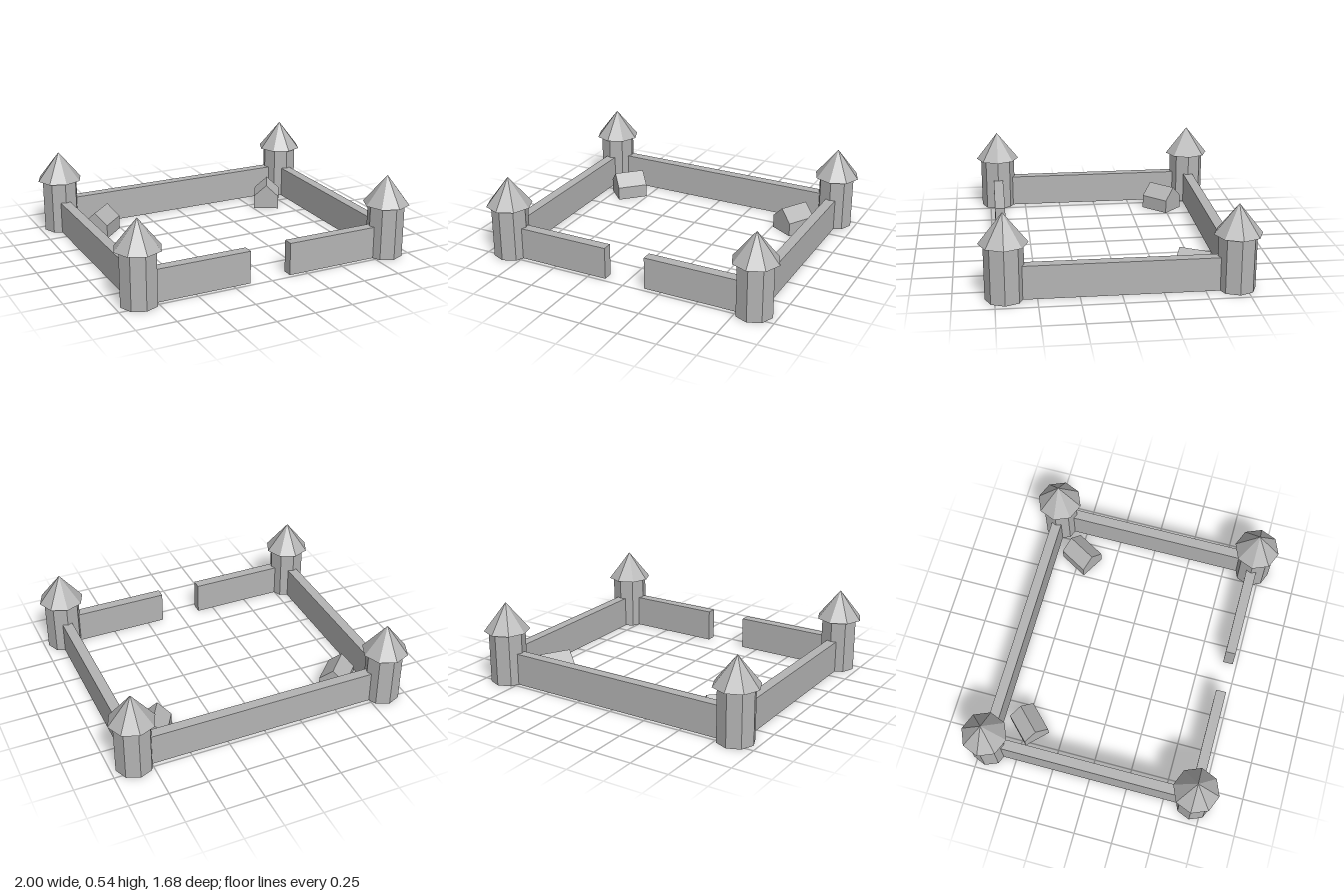
import * as THREE from 'three';

const TOWER_X = 0.852, TOWER_Z = 0.691;
const WALL_H = 0.21, WALL_T = 0.066, GATE = 0.137;

export function createModel() {
  const model = new THREE.Group();
  model.name = 'walledCourtyard';
  const stone = new THREE.MeshStandardMaterial({ color: 0xb4b4b4, flatShading: true });
  stone.name = 'greyStone';

  const add = (parent, name, geometry, x, y, z) => {
    const mesh = new THREE.Mesh(geometry, stone);
    mesh.name = name;
    mesh.position.set(x, y, z);
    parent.add(mesh);
    return mesh;
  };

  // Corner towers: octagonal shaft with a wider pointed roof
  const shaft = new THREE.CylinderGeometry(0.118, 0.118, 0.35, 8);
  const roof = new THREE.ConeGeometry(0.148, 0.187, 8);
  for (const sz of [1, -1]) {
    for (const sx of [1, -1]) {
      const tower = new THREE.Group();
      tower.name = (sz > 0 ? 'front' : 'back') + (sx > 0 ? 'Left' : 'Right') + 'Tower';
      tower.position.set(sx * TOWER_X, 0, sz * TOWER_Z);
      add(tower, 'towerShaft', shaft, 0, 0.175, 0);
      add(tower, 'towerRoof', roof, 0, 0.4415, 0);
      model.add(tower);
    }
  }

  // Curtain walls between the towers, with a gate gap at the front
  const frontLength = TOWER_X - GATE;
  const backWall = new THREE.BoxGeometry(TOWER_X * 2, WALL_H, WALL_T);
  const sideWall = new THREE.BoxGeometry(WALL_T, WALL_H, TOWER_Z * 2);
  const frontWall = new THREE.BoxGeometry(frontLength, WALL_H, WALL_T);
  add(model, 'backWall', backWall, 0, WALL_H / 2, -TOWER_Z);
  for (const s of [1, -1]) {
    const side = s > 0 ? 'left' : 'right';
    add(model, side + 'Wall', sideWall, s * TOWER_X, WALL_H / 2, 0);
    add(model, side + 'FrontWall', frontWall, s * (GATE + frontLength / 2), WALL_H / 2, TOWER_Z);
  }

  // Small gabled houses, the ridge running along their own z axis
  const w = 0.087, eave = 0.09, ridge = 0.17, depth = 0.205;
  const gable = new THREE.Shape([
    new THREE.Vector2(-w, 0), new THREE.Vector2(w, 0), new THREE.Vector2(w, eave),
    new THREE.Vector2(0, ridge), new THREE.Vector2(-w, eave),
  ]);
  const house = new THREE.ExtrudeGeometry(gable, { depth, bevelEnabled: false });
  house.translate(0, 0, -depth / 2);
  add(model, 'rightHouse', house, -0.64, 0, -0.48).rotation.y = -Math.PI / 4;
  add(model, 'leftHouse', house, 0.634, 0, -0.48).rotation.y = -Math.PI / 6;

  return model;
}
